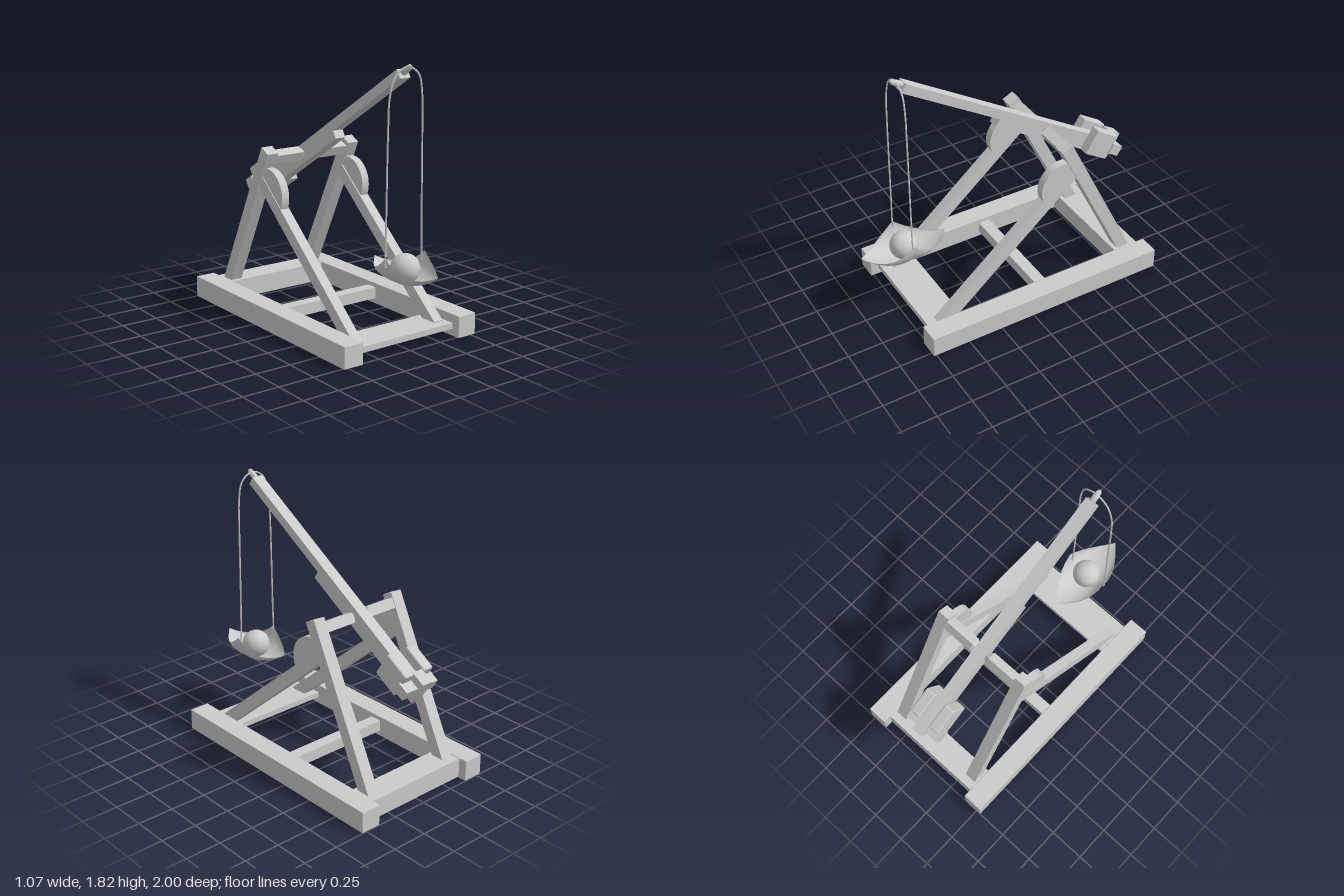
import * as THREE from 'three';
import { RoundedBoxGeometry } from 'three/addons/geometries/RoundedBoxGeometry.js';

export function createModel() {
  const model = new THREE.Group();
  const mat = new THREE.MeshStandardMaterial({ color: 0xcccccc });
  const sheetMat = new THREE.MeshStandardMaterial({ color: 0xcccccc, side: THREE.DoubleSide });

  function add(name, geometry, x, y, z, parent = model, material = mat) {
    const mesh = new THREE.Mesh(geometry, material);
    mesh.name = name;
    mesh.position.set(x, y, z);
    parent.add(mesh);
    return mesh;
  }
  // Box given by its limits on each axis
  function block(name, [x0, x1], [y0, y1], [z0, z1], parent = model) {
    return add(name, new THREE.BoxGeometry(x1 - x0, y1 - y0, z1 - z0),
      (x0 + x1) / 2, (y0 + y1) / 2, (z0 + z1) / 2, parent);
  }
  // Sloping timber in a plane of constant x, between two [z, y] points
  function timber(name, x, width, depth, [z0, y0], [z1, y1]) {
    const beam = add(name, new THREE.BoxGeometry(width, Math.hypot(z1 - z0, y1 - y0), depth),
      x, (y0 + y1) / 2, (z0 + z1) / 2);
    beam.rotation.x = Math.atan2(z1 - z0, y1 - y0);
    return beam;
  }

  // Base cross members
  block('backCrossbeam', [-0.39, 0.39], [0.01, 0.145], [-0.94, -0.755]);
  block('middleCrossbeam', [-0.39, 0.39], [0.04, 0.12], [-0.19, -0.105]);
  block('frontPlank', [-0.39, 0.39], [0.05, 0.09], [0.46, 0.71]);

  // Side frames
  const postTilt = Math.atan2(0.5, 1.005);
  const braceAngle = Math.atan2(0.86, 1);
  for (const s of [-1, 1]) {
    const side = s > 0 ? 'left' : 'right';
    add(side + 'Rail', new RoundedBoxGeometry(0.145, 0.15, 1.77, 1, 0.005), s * 0.4625, 0.075, -0.115);
    timber(side + 'Post', s * 0.333, 0.085, 0.085, [-0.885, 0.04], [-0.33, 1.155]);
    timber(side + 'Brace', s * 0.33, 0.07, 0.085, [0.612, 0.062], [-0.43, 0.958]);

    // Half disc resting on the brace
    const half = new THREE.Shape();
    half.absarc(0, 0, 0.175, 0, Math.PI, false);
    const disc = new THREE.ExtrudeGeometry(half, { depth: 0.056, bevelEnabled: false, curveSegments: 20 });
    disc.translate(0, 0, -0.028).rotateY(Math.PI / 2).rotateX(braceAngle);
    add(side + 'BraceDisc', disc, s * 0.332, 0.86, -0.325);

    // Axle stub with a tapered inner tip
    const axle = new THREE.Group();
    axle.name = side + 'Axle';
    axle.position.set(0, 1.097, -0.363);
    axle.rotation.x = postTilt;
    block('axleBar', s > 0 ? [0.07, 0.33] : [-0.33, -0.07], [-0.035, 0.035], [-0.035, 0.035], axle);
    const tip = new THREE.CylinderGeometry(0.022, 0.0495, 0.028, 4, 1).rotateY(Math.PI / 4)
      .rotateZ(s * Math.PI / 2).toNonIndexed();
    tip.computeVertexNormals();
    add('axleTip', tip, s * 0.056, 0, 0, axle);
    model.add(axle);
  }

  // Throwing arm, built along its own z axis from the counterweight end
  const arm = new THREE.Group();
  arm.name = 'throwingArm';
  arm.position.set(0, 0.795, -0.907);
  arm.rotation.x = -THREE.MathUtils.degToRad(31.65);
  model.add(arm);
  block('armBeam', [-0.041, 0.041], [-0.032, 0.032], [-0.04, 1.832], arm);
  block('armStiffener', [-0.04, 0.04], [-0.09, -0.031], [0.02, 1.02], arm);
  block('armEndBlock', [-0.04, 0.04], [-0.092, 0.092], [-0.047, 0.06], arm);
  block('counterweightBar', [-0.135, 0.135], [-0.038, 0.038], [-0.03, 0.055], arm);
  for (const s of [-1, 1]) {
    add('counterweight', new RoundedBoxGeometry(0.078, 0.19, 0.195, 2, 0.01), s * 0.082, 0.004, 0.137, arm);
  }
  const peg = new THREE.LatheGeometry([[0, 0], [0.022, 0], [0.022, 0.055], [0.017, 0.09], [0, 0.105]]
    .map(p => new THREE.Vector2(...p)), 12).rotateX(Math.PI / 2);
  add('releasePeg', peg, 0, 0.008, 1.82, arm);

  // Rope looped over the peg
  const path = new THREE.CatmullRomCurve3([
    [-0.15, 0.62], [-0.16, 0.56], [-0.157, 0.8], [-0.147, 1.45], [-0.138, 1.62], [-0.1, 1.74], [-0.05, 1.787], [0, 1.8],
    [0.05, 1.785], [0.095, 1.74], [0.118, 1.62], [0.122, 1.45], [0.128, 0.8], [0.134, 0.56],
  ].map(([x, y]) => new THREE.Vector3(x, y, 0.69)));
  add('slingRope', new THREE.TubeGeometry(path, 90, 0.006, 6), 0, 0, 0);

  // Cloth pouch: pointed lens in plan, with raised ends and sides
  const pouch = new THREE.PlaneGeometry(2, 2, 24, 32);
  const pos = pouch.attributes.position;
  for (let i = 0; i < pos.count; i++) {
    const phi = pos.getX(i) * Math.PI / 2, t = pos.getY(i);
    const width = 0.158 * (1 - t * t);
    const rise = 0.19 * Math.pow(1 - Math.abs(t), 1.5);
    const y = 0.43 + 0.112 * t * t + rise * (1 - Math.cos(phi));
    pos.setXYZ(i, width * Math.sin(phi), y, 0.69 - 0.31 * t);
  }
  pouch.computeVertexNormals();
  add('slingPouch', pouch, 0, 0, 0, model, sheetMat);
  add('stoneBall', new THREE.SphereGeometry(0.096, 28, 20), 0, 0.53, 0.69);

  return model;
}
